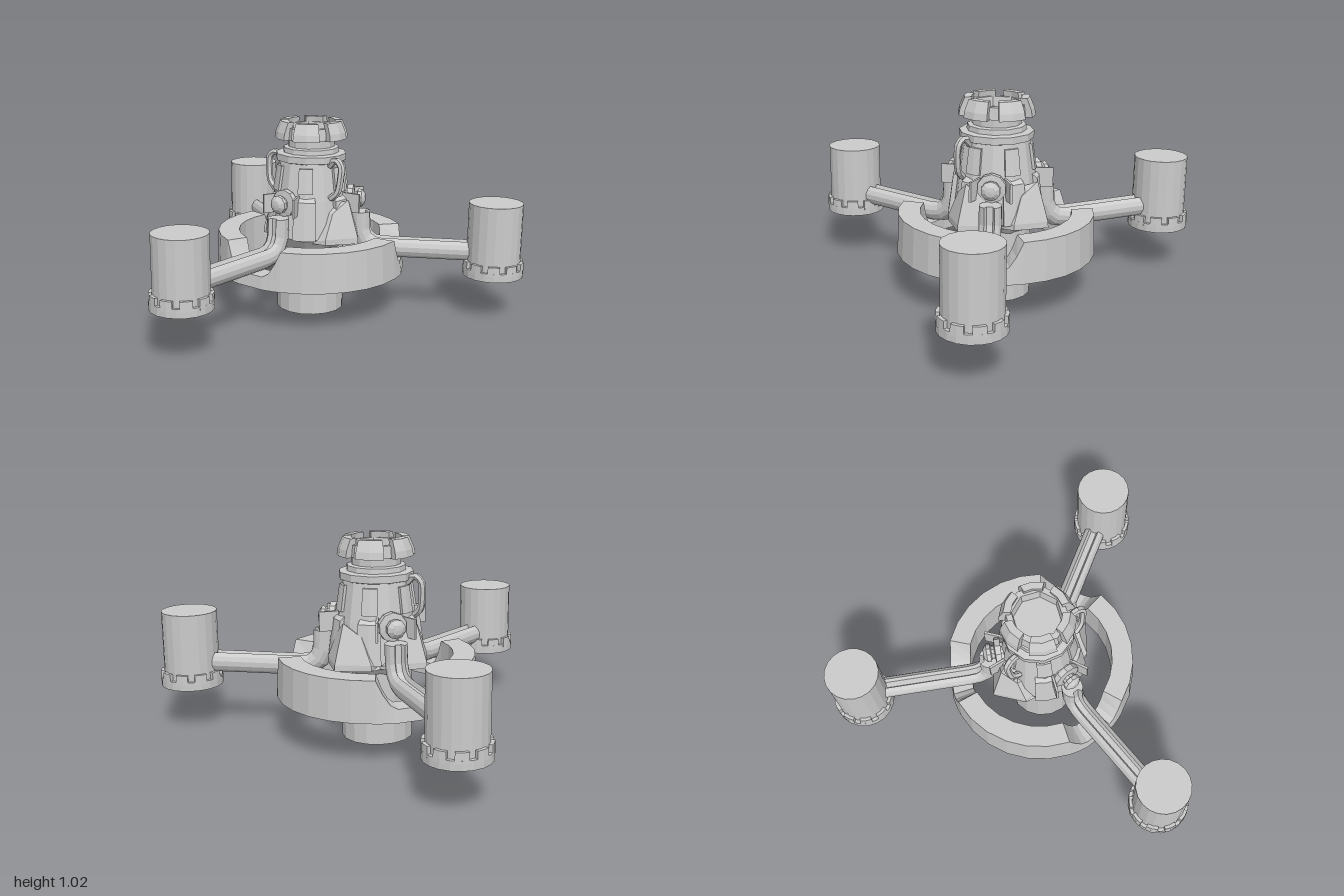
import * as THREE from 'three';

const mat = new THREE.MeshStandardMaterial({ color: 0xcccccc, flatShading: true });
const rad = THREE.MathUtils.degToRad;

function add(parent, name, geometry) {
  const mesh = new THREE.Mesh(geometry, mat);
  mesh.name = name;
  parent.add(mesh);
  return mesh;
}

function lathe(parent, name, profile, sides) {
  return add(parent, name, new THREE.LatheGeometry(profile.map(([r, y]) => new THREE.Vector2(r, y)), sides));
}

// Skins a row of equal cross-sections; capped unless the row is a closed loop.
function loft(sections, closed = false) {
  const n = sections[0].length, m = sections.length, idx = [];
  const pts = sections.flat();
  for (let i = 0; i < (closed ? m : m - 1); i++) {
    for (let j = 0; j < n; j++) {
      const a = i * n + j, d = i * n + (j + 1) % n;
      const b = ((i + 1) % m) * n + j, c = ((i + 1) % m) * n + (j + 1) % n;
      idx.push(a, b, c, a, c, d);
    }
  }
  if (!closed) {
    const e = (m - 1) * n;
    for (let j = 1; j < n - 1; j++) idx.push(0, j, j + 1, e, e + j + 1, e + j);
  }
  // turn the skin outward if its enclosed volume is negative
  let volume = 0;
  const v = pts.map((p) => new THREE.Vector3(...p));
  for (let i = 0; i < idx.length; i += 3) {
    volume += v[idx[i]].dot(v[idx[i + 1]].clone().cross(v[idx[i + 2]]));
  }
  if (volume < 0) idx.reverse();
  const g = new THREE.BufferGeometry();
  g.setAttribute('position', new THREE.Float32BufferAttribute(pts.flat(), 3));
  g.setIndex(idx);
  g.computeVertexNormals();
  return g;
}

const polar = (r, y, a) => [r * Math.sin(a), y, r * Math.cos(a)];

// Wall block following an arc around the y axis, given its (r, y) outline.
function arcBlock(outline, a0, a1, steps = 1) {
  const sections = [];
  for (let i = 0; i <= steps; i++) {
    const a = a0 + (a1 - a0) * i / steps;
    sections.push(outline.map(([r, y]) => polar(r, y, a)));
  }
  return loft(sections);
}

function makeTower() {
  const g = new THREE.Group();
  g.name = 'tower';
  lathe(g, 'basePlug', [[0, 0], [0.18, 0], [0.18, 0.4], [0, 0.4]], 16);
  lathe(g, 'towerBody', [[0, 0.36], [0.18, 0.36], [0.225, 0.42], [0.2, 0.62], [0.17, 0.81],
    [0.187, 0.815], [0.187, 0.85], [0.15, 0.855], [0.147, 0.88], [0.125, 0.885], [0.125, 0.94],
    [0, 0.94]], 12);

  // armour panels on the lower and upper wall
  for (let i = 0; i < 6; i++) {
    const a = rad(i * 60 + 30);
    add(g, 'lowerPanel', arcBlock([[0.2, 0.42], [0.243, 0.42], [0.217, 0.62], [0.19, 0.64]],
      a - 0.26, a + 0.26, 2));
    add(g, 'upperPanel', arcBlock([[0.17, 0.66], [0.203, 0.66], [0.183, 0.79], [0.16, 0.79]],
      a - 0.2, a + 0.2, 2));
  }

  // crown: bowl wall with flared blocks
  lathe(g, 'crownBowl', [[0.115, 0.925], [0.165, 0.93], [0.157, 0.99], [0.125, 0.99], [0.118, 0.94]], 8);
  for (let i = 0; i < 6; i++) {
    const a = rad(i * 60 + 30);
    add(g, 'crownBlock', arcBlock([[0.14, 0.925], [0.193, 0.93], [0.187, 0.965], [0.163, 1.02],
      [0.125, 1.02]], a - 0.37, a + 0.37, 2));
  }

  // pointed buttresses on the sides and back
  for (const deg of [90, 180, 270]) {
    const low = [[-0.16, 0.4, 0.1], [-0.14, 0.4, 0.21], [0, 0.4, 0.318], [0.14, 0.4, 0.21], [0.16, 0.4, 0.1]];
    const mid = [[-0.14, 0.43, 0.1], [-0.14, 0.43, 0.21], [0, 0.43, 0.316], [0.14, 0.43, 0.21], [0.14, 0.43, 0.1]];
    const top = [[-0.08, 0.56, 0.1], [-0.08, 0.56, 0.21], [0, 0.625, 0.25], [0.08, 0.56, 0.21], [0.08, 0.56, 0.1]];
    add(g, 'buttress', loft([low, mid, top])).rotation.y = rad(deg);
  }

  // side handles
  for (const s of [-1, 1]) {
    const path = new THREE.CatmullRomCurve3([[0.16, 0.8], [0.2, 0.835], [0.238, 0.81], [0.24, 0.74],
      [0.225, 0.67], [0.185, 0.635]].map(([r, y], i) => new THREE.Vector3(s * r, y, 0.045 + i * 0.005)));
    add(g, 'handle', new THREE.TubeGeometry(path, 14, 0.018, 6));
  }
  return g;
}

// Ring wall dipping low where each arm crosses it.
function makeRing() {
  const half = [[9, 0.29], [13, 0.31], [17, 0.36], [21, 0.43], [34, 0.43], [47, 0.43]];
  const period = [...half, [60, 0.43], ...half.map(([a, y]) => [120 - a, y]).reverse()];
  const sections = [];
  for (let k = 0; k < 3; k++) {
    for (const [deg, y] of period) {
      const a = rad(deg + k * 120);
      sections.push([polar(0.385, 0.225, a), polar(0.505, 0.225, a), polar(0.496, y, a), polar(0.385, y, a)]);
    }
  }
  return loft(sections, true);
}

// Arm along +z: grooved pipe that bends up beside the tower, with valve and pod.
function makeArm(drop) {
  const g = new THREE.Group();
  g.name = 'arm';
  const outline = [];
  for (let i = 0; i <= 12; i++) {
    const a = rad(-90 + (i - 6) * 25.5);
    outline.push([0.056 * Math.cos(a), 0.056 * Math.sin(a)]);
  }
  outline.push([0.015, 0.028], [-0.015, 0.028]);
  // begin at the lowest point so the caps fan cleanly
  const section = [...outline.slice(6), ...outline.slice(0, 6)];
  // left half and right half of the groove must follow the arc's direction
  section[7] = [0.015, 0.028];
  section[8] = [-0.015, 0.028];
  const path = [[0.9, 0.35, 0], [0.39, 0.35, 0], [0.335, 0.36, 22], [0.295, 0.39, 48],
    [0.273, 0.44, 75], [0.268, 0.54, 90]];
  add(g, 'groovedPipe', loft(path.map(([r, y, deg]) => {
    const t = rad(deg);
    return section.map(([u, w]) => [u, y + w * Math.cos(t), r + w * Math.sin(t)]);
  })));

  // valve above the pipe end
  const valve = new THREE.Group();
  valve.name = 'valve';
  valve.position.set(0, 0.61, 0.18);
  valve.rotation.x = Math.PI / 2;
  g.add(valve);
  lathe(valve, 'valveFlange', [[0, 0], [0.05, 0], [0.05, 0.02], [0.072, 0.02], [0.072, 0.05],
    [0.035, 0.055], [0.035, 0.07], [0.048, 0.075], [0.048, 0.095], [0.025, 0.112], [0, 0.115]], 10);
  for (const s of [-1, 1]) {
    const fin = add(g, 'valveFin', new THREE.BoxGeometry(0.012, 0.1, 0.1));
    fin.position.set(s * 0.08, 0.6, 0.225);
    fin.rotation.y = s * 0.4;
  }

  // pod with hollow underside and notched skirt
  const pod = new THREE.Group();
  pod.name = 'pod';
  pod.position.z = 0.975;
  g.add(pod);
  const y0 = 0.225 + drop;
  lathe(pod, 'podBody', [[0, y0 + 0.06], [0.112, y0 + 0.06], [0.122, y0], [0.158, y0],
    [0.158, y0 + 0.045], [0.14, y0 + 0.045], [0.14, 0.613], [0, 0.613]], 20);
  for (let i = 0; i < 10; i++) {
    const a = rad(i * 36 + 18);
    add(pod, 'skirtTooth', arcBlock([[0.13, y0 + 0.03], [0.158, y0 + 0.03], [0.156, y0 + 0.08],
      [0.13, y0 + 0.08]], a - 0.2, a + 0.2, 2));
  }
  return g;
}

export function createModel() {
  const model = new THREE.Group();
  const body = new THREE.Group();
  body.name = 'station';
  body.position.z = -0.25;
  model.add(body);
  body.add(makeTower());
  add(body, 'ring', makeRing());
  for (let k = 0; k < 3; k++) {
    const arm = makeArm(k === 0 ? 0.02 : 0);
    arm.rotation.y = rad(k * 120);
    body.add(arm);
  }
  return model;
}
